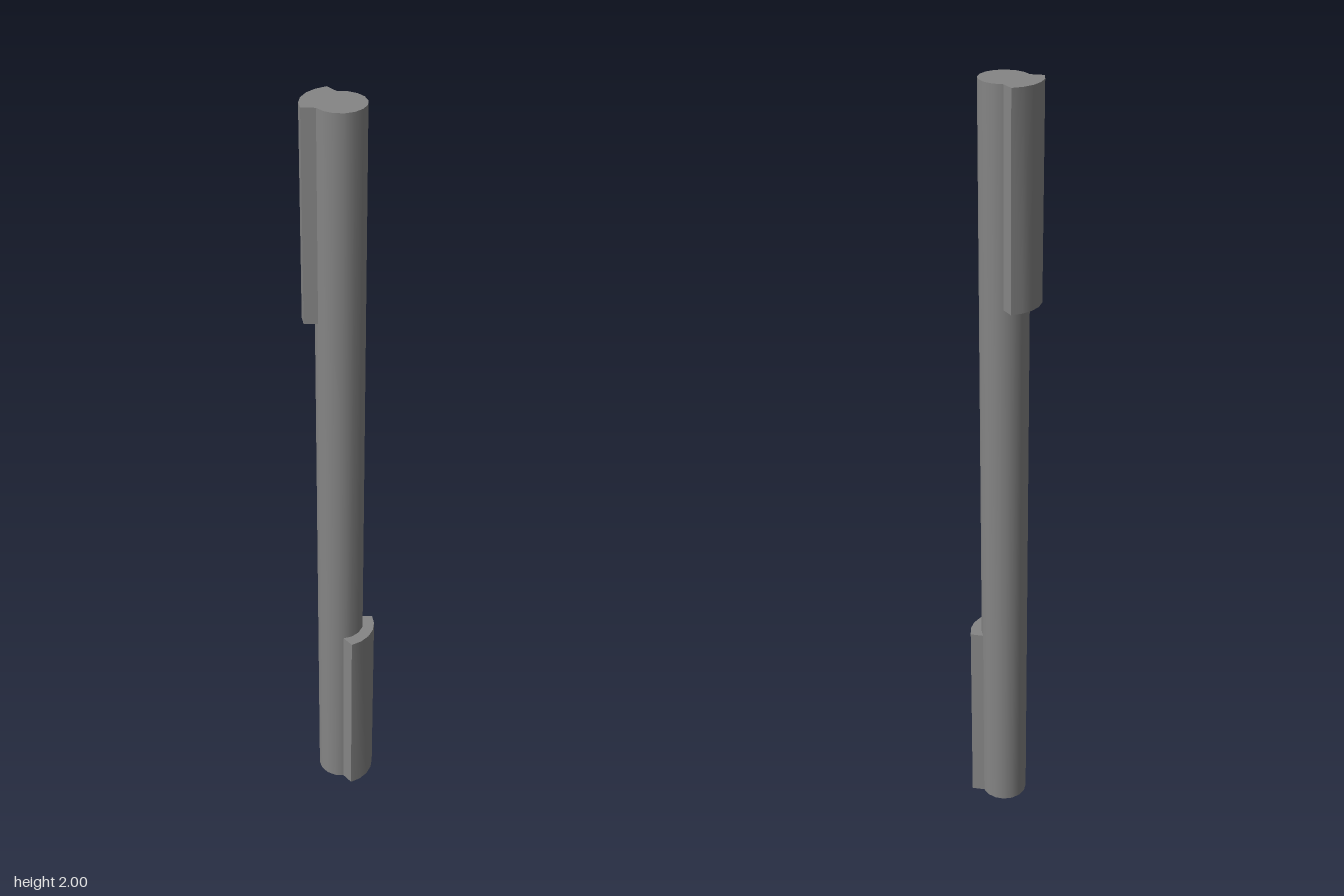
import * as THREE from 'three';
import { toCreasedNormals } from 'three/addons/utils/BufferGeometryUtils.js';

const HEIGHT = 2;
const SHAFT_RADIUS = 0.06;
const LUG_RADIUS = 0.09;
const LUG_LENGTH = 0.526;
const STEPS = 5;

// Points along an arc; angles in degrees, from +x towards +z
function arc(radius, start, step) {
  return Array.from({ length: STEPS + 1 }, (_, i) => {
    const a = THREE.MathUtils.degToRad(start + step * i);
    return new THREE.Vector2(radius * Math.cos(a), -radius * Math.sin(a));
  });
}

// Curved lug whose inner face sits on five sides of the shaft
function lugGeometry() {
  const inner = arc(SHAFT_RADIUS, -67.5, 22.5);
  const outer = arc(LUG_RADIUS, -56.25, 18);
  const shape = new THREE.Shape([...inner, ...outer.reverse()]);
  const geometry = new THREE.ExtrudeGeometry(shape, { depth: LUG_LENGTH, bevelEnabled: false });
  geometry.rotateX(-Math.PI / 2);
  return toCreasedNormals(geometry, 0.5);
}

export function createModel() {
  const group = new THREE.Group();
  group.name = 'shaftWithLugs';
  const material = new THREE.MeshStandardMaterial({ color: 0x858585 });

  // Sixteen-sided shaft
  const shaft = new THREE.Mesh(
    new THREE.CylinderGeometry(SHAFT_RADIUS, SHAFT_RADIUS, HEIGHT, 16), material);
  shaft.name = 'shaft';
  shaft.position.y = HEIGHT / 2;
  group.add(shaft);

  // Lower lug on the left, upper lug turned half way round
  const geometry = lugGeometry();
  const lowerLug = new THREE.Mesh(geometry, material);
  lowerLug.name = 'lowerLug';
  const upperLug = new THREE.Mesh(geometry, material);
  upperLug.name = 'upperLug';
  upperLug.rotation.y = Math.PI;
  upperLug.position.y = HEIGHT - LUG_LENGTH;
  group.add(lowerLug, upperLug);

  return group;
}
